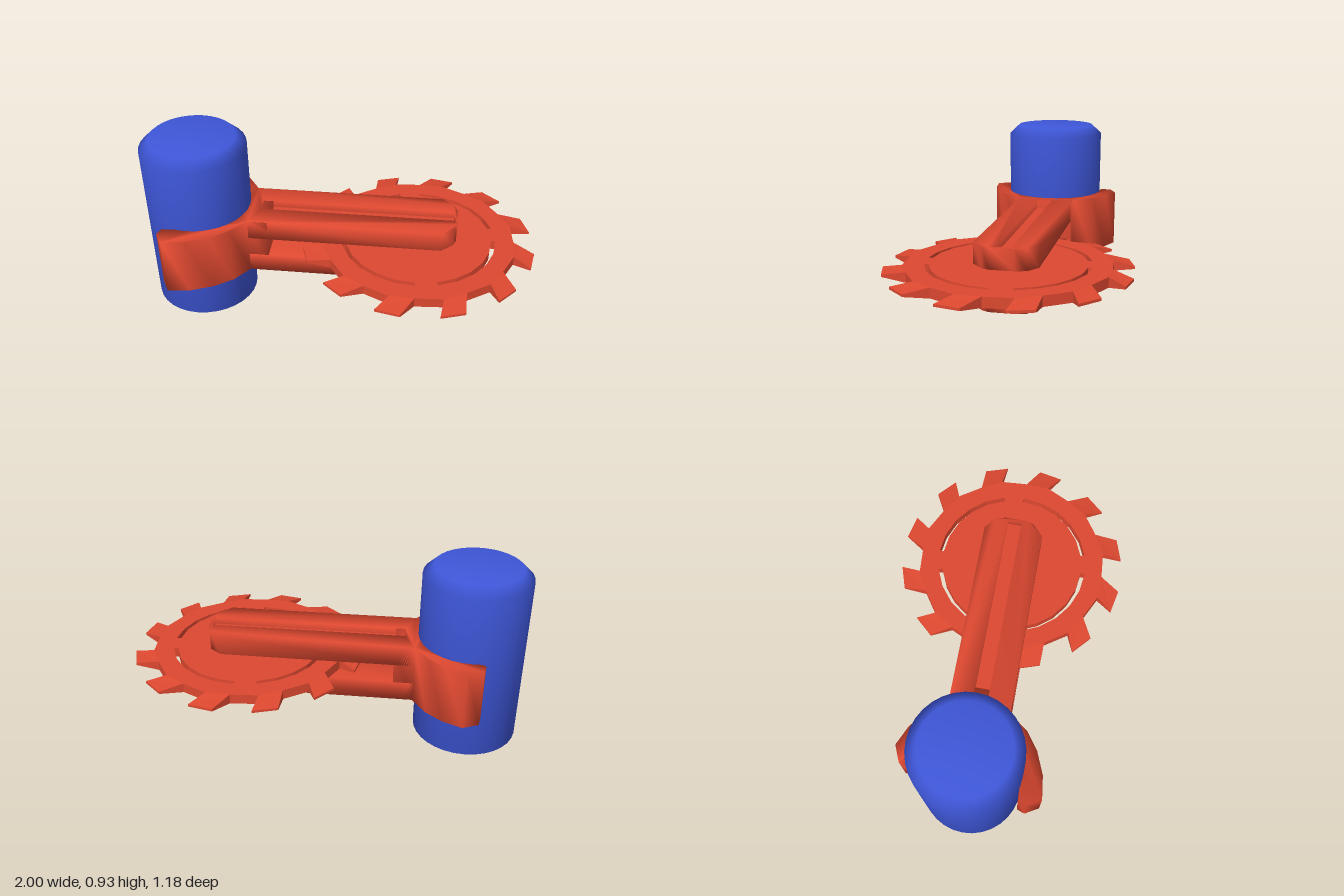
import * as THREE from 'three';
import { mergeVertices, mergeGeometries } from 'three/addons/utils/BufferGeometryUtils.js';

const red = new THREE.MeshStandardMaterial({ color: 0xdd4830 });
const redFlat = new THREE.MeshStandardMaterial({ color: 0xdd4830, flatShading: true });
const blue = new THREE.MeshStandardMaterial({ color: 0x3f57da });

const toPoints = (list) => list.map(([x, z]) => new THREE.Vector2(x, z));

// Extrudes a plan outline of [x, z] points between two heights
function slab(outline, bottom, top, holes = []) {
  const shape = new THREE.Shape(toPoints(outline));
  shape.holes = holes.map((h) => new THREE.Path(toPoints(h)));
  const geo = new THREE.ExtrudeGeometry(shape, { depth: top - bottom, bevelEnabled: false });
  geo.rotateX(Math.PI / 2);
  geo.translate(0, top, 0);
  return geo;
}

// Shares all corners so that the shading rolls softly over the edges
function soften(geo) {
  geo.deleteAttribute('normal');
  geo.deleteAttribute('uv');
  const merged = mergeVertices(geo, 1e-4);
  merged.computeVertexNormals();
  return merged;
}

function polar(degrees, r) {
  const a = THREE.MathUtils.degToRad(degrees);
  return [r * Math.cos(a), r * Math.sin(a)];
}

export function createModel() {
  const model = new THREE.Group();
  const add = (name, geo, mat, parent = model) => {
    const mesh = new THREE.Mesh(geo, mat);
    mesh.name = name;
    parent.add(mesh);
    return mesh;
  };

  // Upright post with a chamfered top
  const profile = toPoints([[0, 0], [0.268, 0], [0.268, 0.88], [0.215, 0.93], [0, 0.93]]);
  const post = add('post', new THREE.LatheGeometry(profile, 32), blue);
  post.position.set(-0.733, 0, -0.015);

  // Open collar gripping the post, with the root of the fork
  const collar = [
    [-0.35, -0.17], [-0.45, -0.17], [-0.52, -0.27], [-0.6, -0.335], [-0.7, -0.38],
    [-0.78, -0.345], [-0.79, -0.29], [-0.72, -0.27], [-0.6, -0.22], [-0.52, -0.12],
    [-0.5, -0.015], [-0.52, 0.09], [-0.6, 0.19], [-0.72, 0.24], [-0.86, 0.25],
    [-0.875, 0.29], [-0.835, 0.36], [-0.72, 0.345], [-0.61, 0.3], [-0.52, 0.235],
    [-0.45, 0.14], [-0.35, 0.14],
  ];
  add('collar', soften(slab(collar, 0.235, 0.54)), red);

  // Two fork arms, the upper one grooved along its top
  const arm = [
    [-0.45, -0.17], [0.53, -0.17], [0.59, -0.125], [0.605, -0.07],
    [0.605, 0.05], [0.59, 0.085], [0.53, 0.14], [-0.45, 0.14],
  ];
  const groove = [[-0.4, -0.055], [0.59, -0.055], [0.59, 0.02], [-0.4, 0.02]];
  add('lowerArm', soften(slab(arm, 0.235, 0.335)), red);
  add('upperArm', soften(slab(arm, 0.437, 0.541, [groove])), red);
  // The collar top ends where the groove begins, so the floor sits just below it
  add('grooveFloor', slab(groove, 0.437, 0.505), red);

  // Saw blade: slotted disc with raked teeth
  const blade = new THREE.Group();
  blade.name = 'sawBlade';
  blade.position.set(0.41, 0.39, 0);
  model.add(blade);

  const rim = [];
  const teeth = [];
  for (let k = 0; k < 12; k++) {
    const a = k * 30;
    const root = [polar(a, 0.49), polar(a + 14, 0.5)];
    rim.push(...root);
    const tooth = slab([root[0], polar(a + 6, 0.595), polar(a + 18, 0.595), root[1]], -0.025, 0.025);
    // Thin each tooth towards its tip
    const pos = tooth.attributes.position;
    for (let i = 0; i < pos.count; i++) {
      if (Math.hypot(pos.getX(i), pos.getZ(i)) > 0.55) pos.setY(i, pos.getY(i) * 0.25);
    }
    tooth.computeVertexNormals();
    teeth.push(tooth);
  }

  // Four curved expansion slots
  const slots = [0, 90, 180, 270].map((start) => {
    const outer = [], inner = [];
    for (let i = 0; i <= 5; i++) {
      outer.push(polar(start + i * 14.8, 0.398));
      inner.unshift(polar(start + i * 14.8, 0.376));
    }
    return [...outer, ...inner];
  });
  add('bladeDisc', slab(rim, -0.025, 0.025, slots), redFlat, blade);
  add('bladeTeeth', mergeGeometries(teeth), redFlat, blade);

  return model;
}
